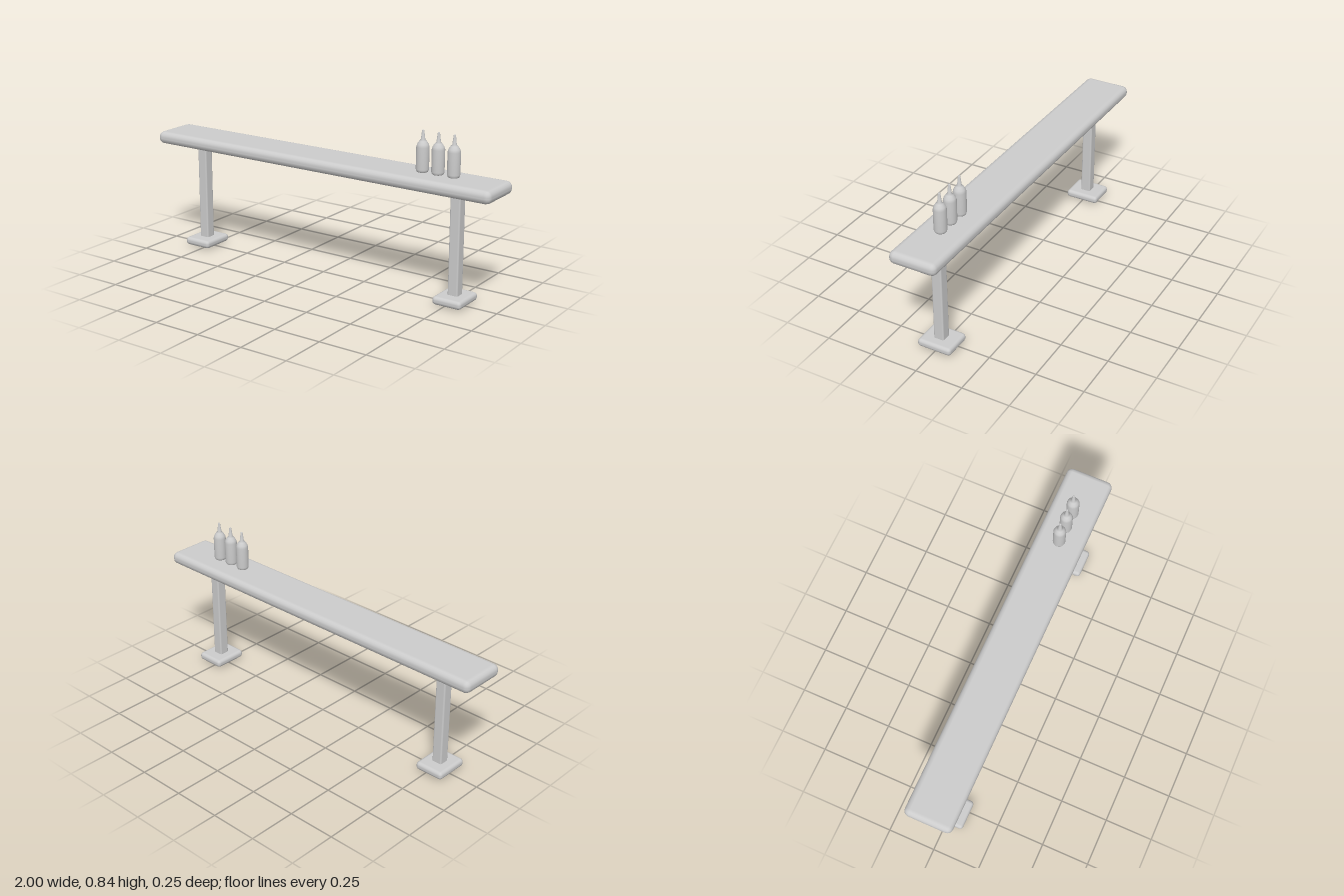
import * as THREE from 'three';
import { RoundedBoxGeometry } from 'three/addons/geometries/RoundedBoxGeometry.js';

export function createModel() {
  const model = new THREE.Group();
  const grey = new THREE.MeshStandardMaterial({ color: 0xcccccc });
  grey.name = 'light grey';

  const add = (name, geometry, x, y, z = 0) => {
    const mesh = new THREE.Mesh(geometry, grey);
    mesh.name = name;
    mesh.position.set(x, y, z);
    model.add(mesh);
  };

  // Long rounded counter top
  add('counterTop', new RoundedBoxGeometry(2, 0.066, 0.25, 2, 0.03), 0, 0.595);

  // Posts run through their foot plates and show slightly underneath
  const post = new RoundedBoxGeometry(0.055, 0.566, 0.055, 2, 0.008);
  const foot = new RoundedBoxGeometry(0.157, 0.042, 0.184, 2, 0.018);
  for (const [side, x] of [['left', 0.772], ['right', -0.775]]) {
    add(side + 'Post', post, x, 0.283);
    add(side + 'FootPlate', foot, x, 0.028);
  }

  // Row of squeeze bottles with tapered nozzles
  const profile = [
    [0, 0], [0.026, 0], [0.029, 0.004], [0.032, 0.014], [0.032, 0.122],
    [0.028, 0.136], [0.018, 0.151], [0.011, 0.158], [0.0055, 0.202], [0.004, 0.206], [0, 0.206],
  ].map(([r, y]) => new THREE.Vector2(r, y));
  const bottle = new THREE.LatheGeometry(profile, 20);
  [0.575, 0.66, 0.745].forEach((x, i) => add('bottle' + (i + 1), bottle, x, 0.631));

  return model;
}
